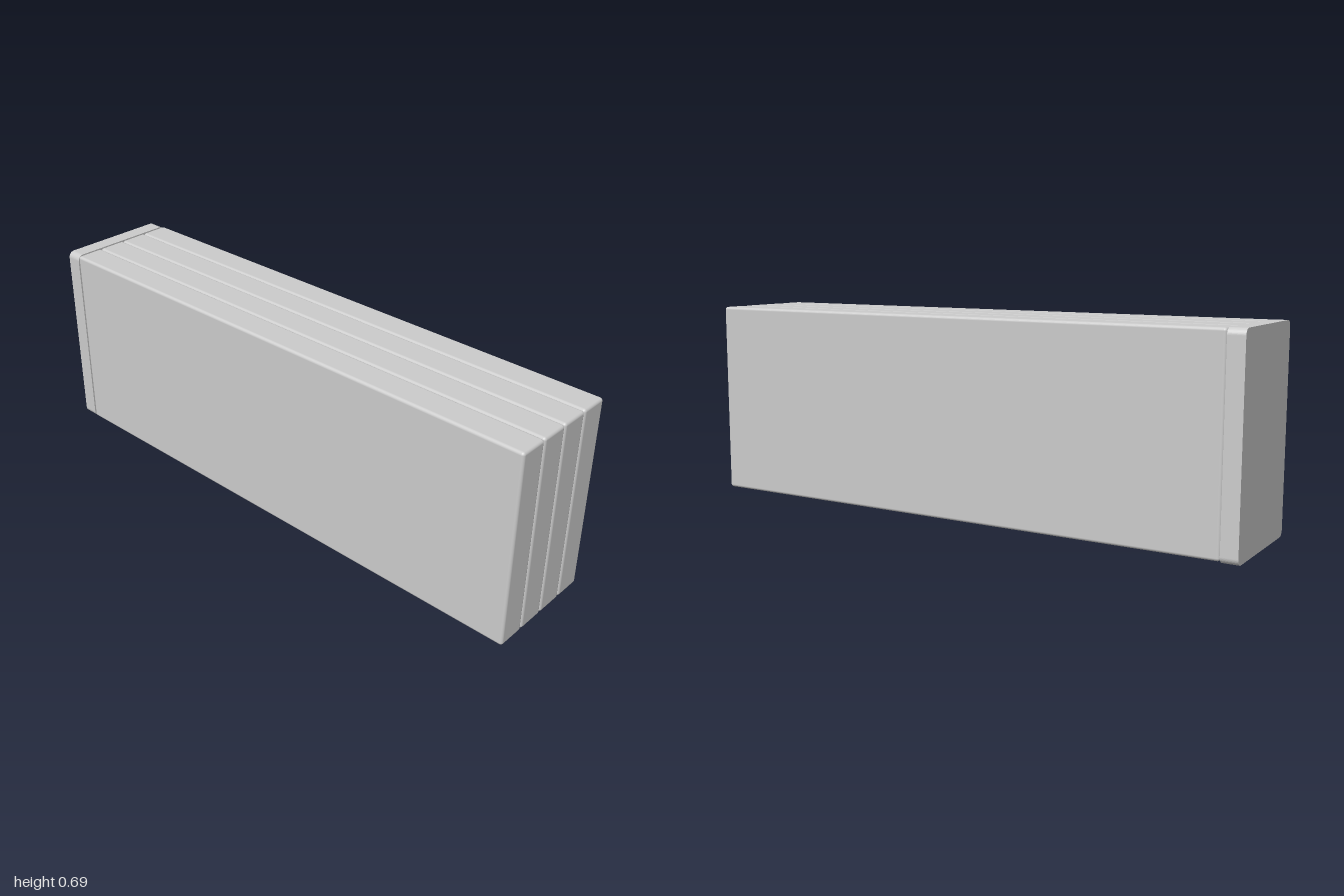
import * as THREE from 'three';
import { RoundedBoxGeometry } from 'three/addons/geometries/RoundedBoxGeometry.js';

const HEIGHT = 0.69, DEPTH = 0.412, SLABS = 4;
const PLATE_X = -0.944; // where the end plate meets the slabs

// Rectangle with rounded corners, centred on the origin
function roundedRect(w, h, r) {
  const x = w / 2 - r, y = h / 2 - r;
  const s = new THREE.Shape();
  s.absarc(x, y, r, 0, Math.PI / 2);
  s.absarc(-x, y, r, Math.PI / 2, Math.PI);
  s.absarc(-x, -y, r, Math.PI, Math.PI * 1.5);
  s.absarc(x, -y, r, Math.PI * 1.5, Math.PI * 2);
  s.closePath();
  return s;
}

export function createModel() {
  const group = new THREE.Group();
  const material = new THREE.MeshStandardMaterial({ color: 0xcccccc });

  // End plate: rounded outline with flat faces, extruded along x
  const plate = new THREE.Mesh(
    new THREE.ExtrudeGeometry(roundedRect(DEPTH, HEIGHT, 0.022), {
      depth: PLATE_X + 1, bevelEnabled: false, curveSegments: 8,
    }),
    material
  );
  plate.name = 'endPlate';
  plate.rotation.y = Math.PI / 2;
  plate.position.set(-1, HEIGHT / 2, 0);
  group.add(plate);

  // Four soft-edged slabs stacked side by side
  const pitch = DEPTH / SLABS, bottom = 0.006, top = 0.689;
  const slabGeometry = new RoundedBoxGeometry(1 - PLATE_X, top - bottom, pitch - 0.001, 4, 0.01);
  for (let i = 0; i < SLABS; i++) {
    const slab = new THREE.Mesh(slabGeometry, material);
    slab.name = `slab${i + 1}`;
    slab.position.set((1 + PLATE_X) / 2, (top + bottom) / 2, (i - (SLABS - 1) / 2) * pitch);
    group.add(slab);
  }
  return group;
}
